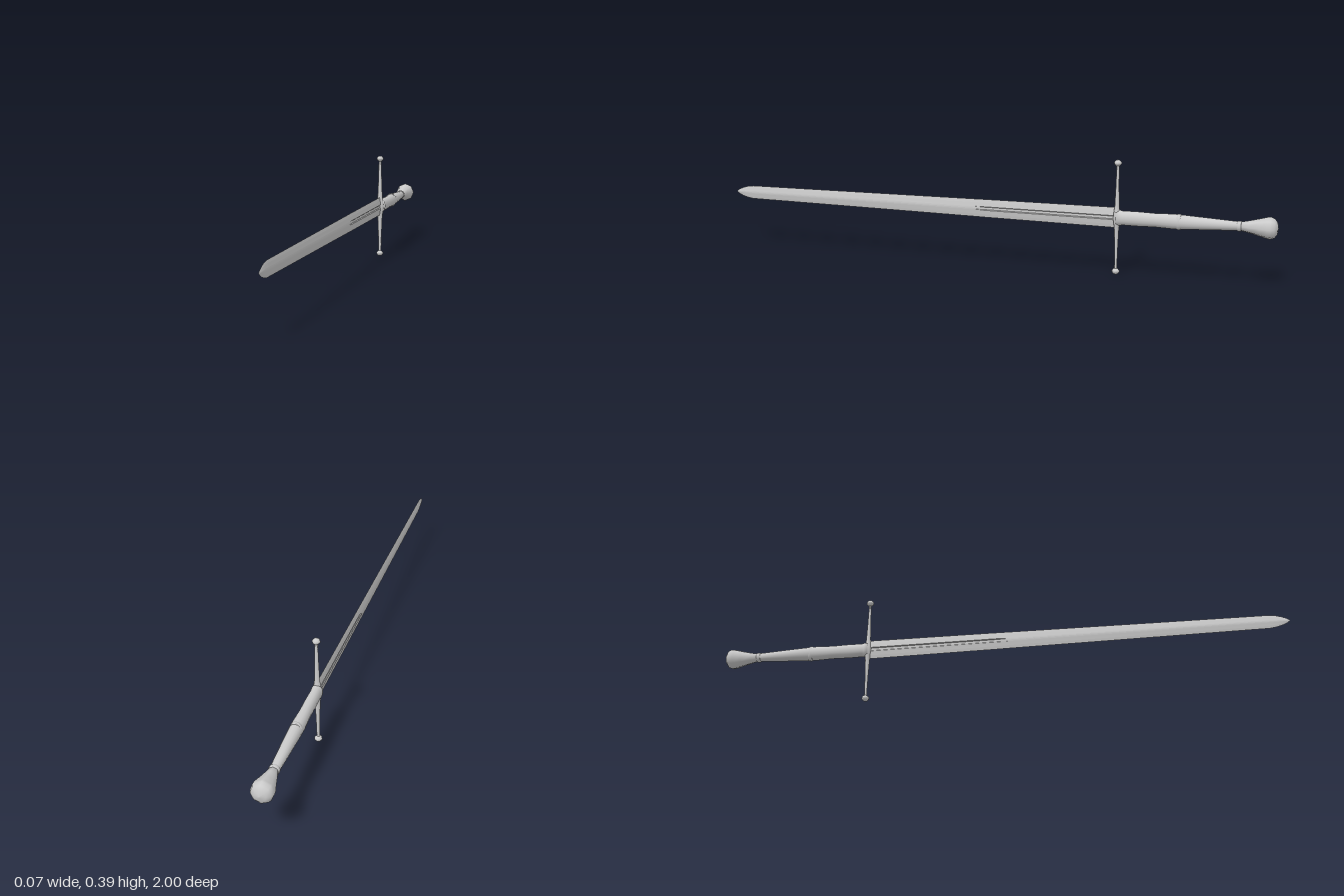
import * as THREE from 'three';

const MID = 0.197; // height of the sword's long axis
const GUARD_Z = -0.47;

const steel = new THREE.MeshStandardMaterial({ color: 0xcccccc });
const facetedSteel = new THREE.MeshStandardMaterial({ color: 0xcccccc, flatShading: true });

function addMesh(parent, name, geometry, material = steel) {
  const mesh = new THREE.Mesh(geometry, material);
  mesh.name = name;
  parent.add(mesh);
  return mesh;
}

// Lathe running backwards along -z; profile rows are [radius, z], from front to back
function turnedAlongZ(profile, sides) {
  const points = profile.map(([r, z]) => new THREE.Vector2(r, -z));
  return new THREE.LatheGeometry(points, sides).rotateX(-Math.PI / 2);
}

// Skin a list of equal-length rings of [x, y, z], ordered along +z
function loft(rings) {
  const n = rings[0].length;
  const index = [];
  for (let i = 0; i < rings.length - 1; i++) {
    for (let j = 0; j < n; j++) {
      const a = i * n + j, b = i * n + (j + 1) % n;
      index.push(a, b, b + n, a, b + n, a + n);
    }
  }
  for (let j = 1; j < n - 1; j++) index.push(0, j + 1, j);
  const geometry = new THREE.BufferGeometry();
  geometry.setAttribute('position', new THREE.Float32BufferAttribute(rings.flat(2), 3));
  geometry.setIndex(index);
  geometry.computeVertexNormals();
  return geometry;
}

// Diamond section with a groove cut into both flat sides
function bladeRing([z, h, t, groove]) {
  const w = h * 0.2;
  const side = [
    [t * 0.45, -h * 0.65], [t * 0.9, -w], [t * 0.95 - groove, -w * 0.65],
    [t - groove, 0],
    [t * 0.95 - groove, w * 0.65], [t * 0.9, w], [t * 0.45, h * 0.65],
  ];
  const ring = [[0, -h], ...side, [0, h], ...side.map(([x, y]) => [-x, -y])];
  return ring.map(([x, y]) => [x, y, z]);
}

export function createModel() {
  const sword = new THREE.Group();
  sword.name = 'sword';
  const body = new THREE.Group();
  body.name = 'swordBody';
  body.position.y = MID;
  sword.add(body);

  // Blade: z, half width, half thickness, groove depth
  const sections = [
    [GUARD_Z, 0.035, 0.006, 0.003],
    [0.0, 0.032, 0.0056, 0.003],
    [0.04, 0.0315, 0.0055, 0],
    [0.6, 0.027, 0.005, 0],
    [0.93, 0.0245, 0.0045, 0],
    [0.955, 0.021, 0.004, 0],
    [0.975, 0.015, 0.0034, 0],
    [0.99, 0.008, 0.002, 0],
    [1.0, 0.0006, 0.0004, 0],
  ];
  addMesh(body, 'blade', loft(sections.map(bladeRing)), facetedSteel);

  // Grip: oval in section, swelling towards the middle ring
  const grip = turnedAlongZ([
    [0, -0.466], [0.026, -0.468], [0.027, -0.48], [0.0245, -0.49],
    [0.025, -0.54], [0.0235, -0.6], [0.0255, -0.66],
    [0.024, -0.70], [0.02, -0.78], [0.015, -0.875], [0, -0.876],
  ], 16);
  // Flatten strongly at the guard, fading to round at the pommel
  const p = grip.attributes.position;
  for (let i = 0; i < p.count; i++) {
    const k = THREE.MathUtils.mapLinear(p.getZ(i), GUARD_Z, -0.875, 0.72, 1.0);
    p.setX(i, p.getX(i) * k);
  }
  grip.computeVertexNormals();
  addMesh(body, 'grip', grip);

  // Raised rings at the middle and rear of the grip: z, x radius, y radius
  [[-0.68, 0.0215, 0.0275], [-0.876, 0.0175, 0.0175]].forEach(([z, rx, ry], i) => {
    const profile = [[0.8, 0.007], [0.97, 0.006], [1, 0], [0.97, -0.006], [0.8, -0.007]];
    const ring = addMesh(body, i ? 'rearGripRing' : 'middleGripRing', turnedAlongZ(profile, 16));
    ring.scale.set(rx, ry, 1);
    ring.position.z = z;
  });

  // Pommel: eight-sided flared cone with a domed end
  addMesh(body, 'pommel', turnedAlongZ([
    [0, -0.872], [0.014, -0.876], [0.02, -0.905], [0.029, -0.94],
    [0.036, -0.965], [0.037, -0.975], [0.032, -0.988], [0.019, -0.997], [0, -1.0],
  ], 8));

  // Crossguard: central swelling around the blade and two tapered arms
  const guard = new THREE.Group();
  guard.name = 'crossguard';
  guard.position.z = GUARD_Z;
  body.add(guard);

  const half = [[0.0145, 0.012], [0.012, 0.024], [0.0095, 0.04], [0.0085, 0.065],
    [0.007, 0.1], [0.0058, 0.15], [0.0052, 0.185]];
  const arms = [...half.map(([r, y]) => [r, -y]).reverse(), [0.0155, 0], ...half];
  const armMesh = addMesh(guard, 'guardArms',
    new THREE.LatheGeometry(arms.map(([r, y]) => new THREE.Vector2(r, y)), 8));
  armMesh.scale.z = 0.85;

  // Mushroom-shaped knobs on both ends
  const knob = [[0.0052, 0.176], [0.0085, 0.178], [0.013, 0.183], [0.0135, 0.187],
    [0.011, 0.192], [0.006, 0.196], [0, 0.197]];
  const knobGeometry = new THREE.LatheGeometry(knob.map(([r, y]) => new THREE.Vector2(r, y)), 8);
  addMesh(guard, 'upperGuardKnob', knobGeometry);
  addMesh(guard, 'lowerGuardKnob', knobGeometry).rotation.x = Math.PI;

  return sword;
}
